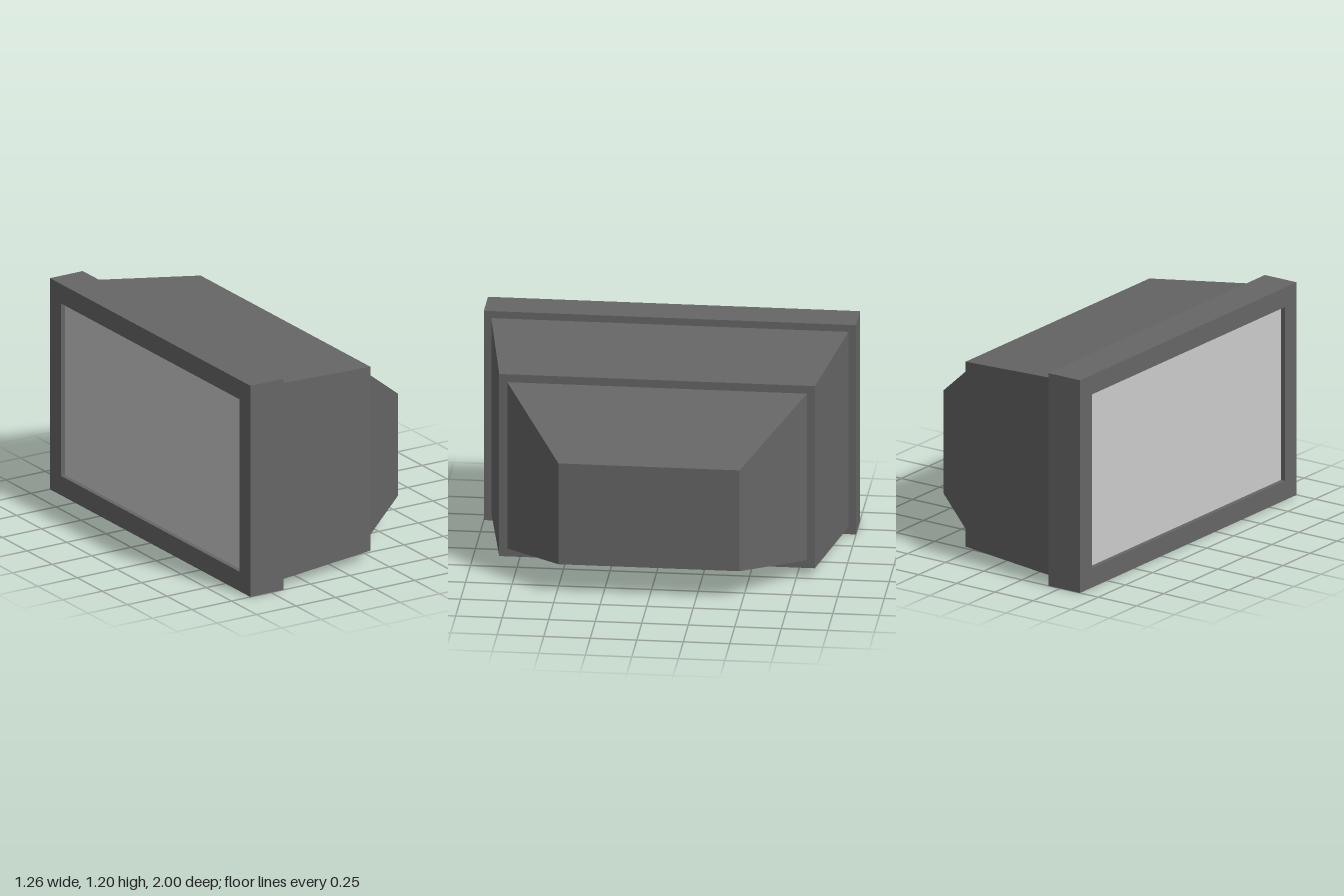
import * as THREE from 'three';

const caseMaterial = new THREE.MeshStandardMaterial({ color: 0x666666, flatShading: true });
const screenMaterial = new THREE.MeshStandardMaterial({ color: 0xcccccc, flatShading: true });

// Tapered block along x; each end is { x, z: half width, y0: bottom, y1: top }
function taperedBlock(name, a, b, material) {
  const geometry = new THREE.BoxGeometry(1, 1, 1);
  const p = geometry.attributes.position;
  for (let i = 0; i < p.count; i++) {
    const end = p.getX(i) < 0 ? a : b;
    p.setXYZ(i, end.x, p.getY(i) < 0 ? end.y0 : end.y1, Math.sign(p.getZ(i)) * end.z);
  }
  geometry.computeVertexNormals();
  const mesh = new THREE.Mesh(geometry, material);
  mesh.name = name;
  return mesh;
}

// Rectangle outline in the (z, y) plane
function rectangle(PathType, z, y0, y1) {
  return new PathType([[-z, y0], [z, y0], [z, y1], [-z, y1]].map(([u, v]) => new THREE.Vector2(u, v)));
}

export function createModel() {
  const group = new THREE.Group();
  group.name = 'television';

  // Frame around the screen
  const outline = rectangle(THREE.Shape, 1, 0, 1.2);
  outline.holes.push(rectangle(THREE.Path, 0.89, 0.11, 1.09));
  const frame = new THREE.Mesh(
    new THREE.ExtrudeGeometry(outline, { depth: 0.208, bevelEnabled: false }), caseMaterial);
  frame.rotation.y = -Math.PI / 2;
  frame.position.x = -0.422;
  frame.name = 'screenFrame';
  group.add(frame);

  // Slightly recessed flat screen
  const screenEnd = { z: 0.89, y0: 0.11, y1: 1.09 };
  group.add(taperedBlock('screen', { x: -0.605, ...screenEnd }, { x: -0.43, ...screenEnd }, screenMaterial));

  // Main casing and the smaller tapered rear housing
  group.add(taperedBlock('casing',
    { x: -0.422, z: 0.96, y0: 0.042, y1: 1.16 },
    { x: 0.227, z: 0.848, y0: 0.051, y1: 1.095 }, caseMaterial));
  group.add(taperedBlock('rearHousing',
    { x: 0.227, z: 0.805, y0: 0.096, y1: 1.05 },
    { x: 0.63, z: 0.487, y0: 0.175, y1: 0.753 }, caseMaterial));

  return group;
}
